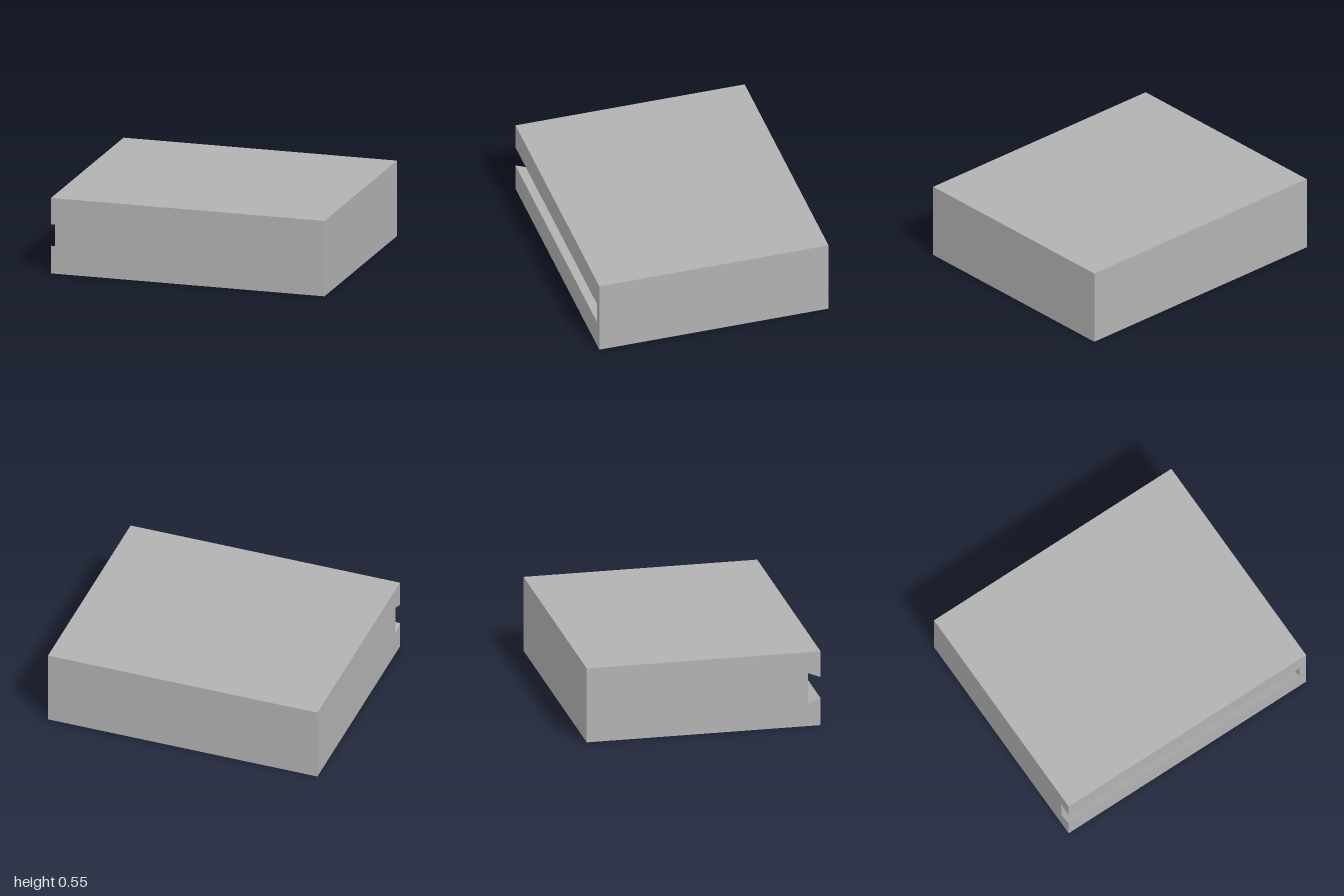
import * as THREE from 'three';

const W = 2, H = 0.545, D = 1.67;          // overall size
const WALL = 0.025, LID = 0.03;            // thin shell
const FRONT = 0.15;                        // thick front rail
const SLOT_END = 0.945;                    // closed end of the slot

export function createModel() {
  const group = new THREE.Group();
  const grey = new THREE.MeshStandardMaterial({ color: 0xb2b2b2 });
  grey.name = 'plain grey';

  const add = (name, geometry) => {
    const mesh = new THREE.Mesh(geometry, grey);
    mesh.name = name;
    group.add(mesh);
  };
  // Box given by its low and high corners
  const box = (name, x0, x1, y0, y1, z0, z1) => add(name,
    new THREE.BoxGeometry(x1 - x0, y1 - y0, z1 - z0)
      .translate((x0 + x1) / 2, (y0 + y1) / 2, (z0 + z1) / 2));

  const top = H - LID, back = -D / 2, front = D / 2, inner = front - FRONT;

  // Shell, open underneath
  box('lid', -W / 2, W / 2, top, H, back, front);
  box('backWall', -W / 2 + WALL, W / 2 - WALL, 0, top, back, back + WALL);
  box('rightWall', -W / 2, -W / 2 + WALL, 0, top, back, inner);
  box('leftWall', W / 2 - WALL, W / 2, 0, top, back, inner);

  // Ribs running front to back
  for (let i = -2; i <= 2; i++) {
    const x = i * 0.368;
    box('rib', x - WALL / 2, x + WALL / 2, 0, top, back + WALL, inner);
  }

  // Front rail with an undercut slot, open at the right end (profile is -z, y)
  const slotBack = front - 0.09;
  const profile = new THREE.Shape([
    [front, 0], [inner, 0], [inner, top], [front, top],
    [front, 0.355], [slotBack, 0.39], [slotBack, 0.165], [front, 0.2],
  ].map(([z, y]) => new THREE.Vector2(-z, y)));
  add('slottedFrontRail', new THREE.ExtrudeGeometry(profile, { depth: SLOT_END + W / 2, bevelEnabled: false })
    .rotateY(Math.PI / 2).translate(-W / 2, 0, 0));
  box('slotStop', SLOT_END, W / 2, 0, top, inner, front);

  return group;
}
